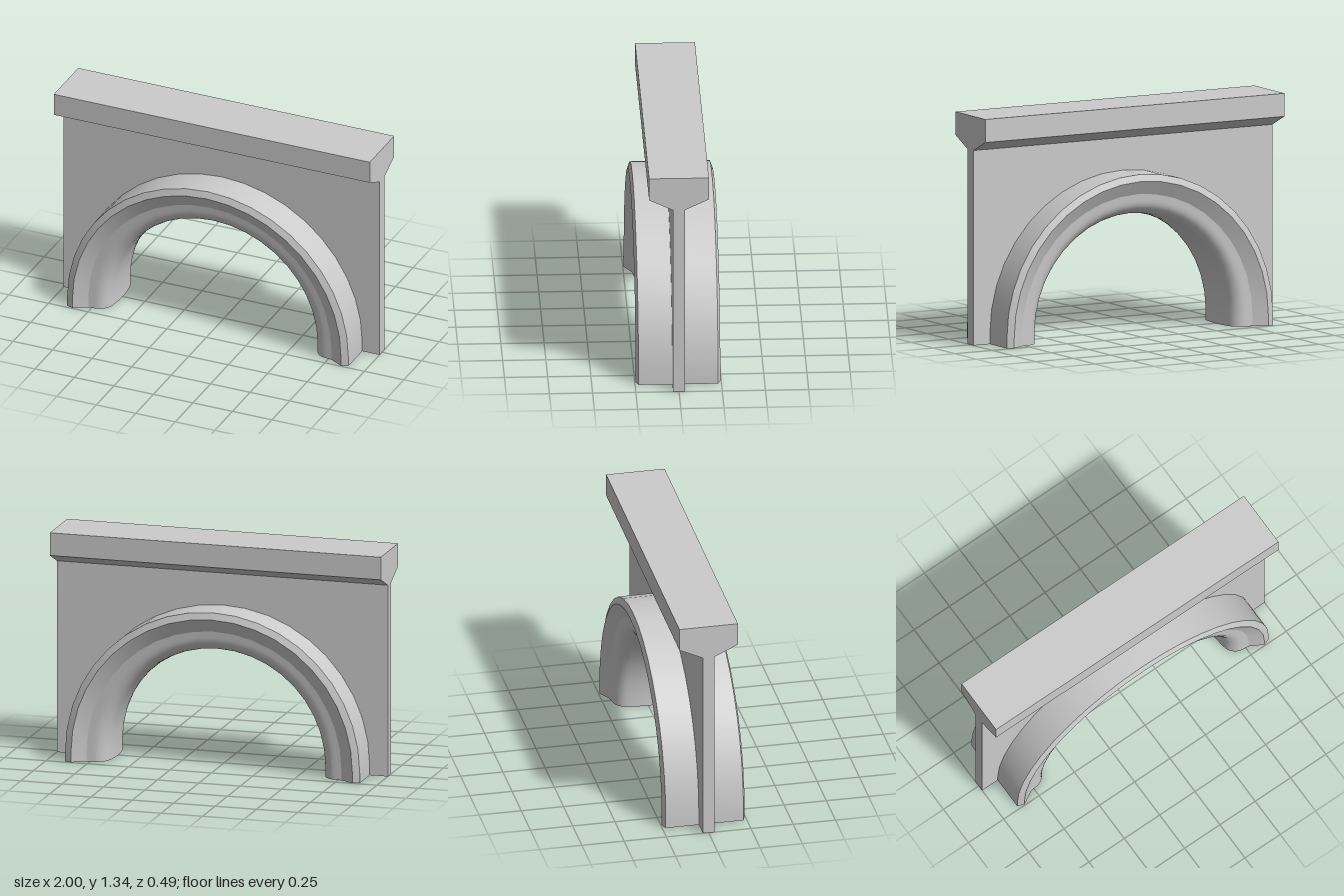
import * as THREE from 'three';
import { toCreasedNormals } from 'three/addons/utils/BufferGeometryUtils.js';

const SPRING = 0.06; // height where the straight legs turn into the arc
const SEGMENTS = 20;

// Moulded arch: a symmetric section (x = radius, y = depth) extruded, then bent over the opening
function archGeometry() {
  const roll = new THREE.CatmullRomCurve3(
    [[0.77, 0.2], [0.7, 0.188], [0.66, 0.15], [0.645, 0.08], [0.64, 0],
      [0.645, -0.08], [0.66, -0.15], [0.7, -0.188], [0.77, -0.2]]
      .map(([r, d]) => new THREE.Vector3(r, d, 0))
  ).getPoints(32).map((p) => new THREE.Vector2(p.x, p.y));
  const section = new THREE.Shape([
    new THREE.Vector2(0.89, 0.23), new THREE.Vector2(0.85, 0.245),
    ...roll,
    new THREE.Vector2(0.85, -0.245), new THREE.Vector2(0.89, -0.23),
  ]);
  const steps = SEGMENTS + 2;
  const geo = new THREE.ExtrudeGeometry(section, { depth: 1, steps, bevelEnabled: false });
  const pos = geo.attributes.position;
  for (let i = 0; i < pos.count; i++) {
    const r = pos.getX(i), d = pos.getY(i);
    const k = Math.round(pos.getZ(i) * steps);
    const a = THREE.MathUtils.clamp((k - 1) / SEGMENTS, 0, 1) * Math.PI;
    const base = k === 0 || k === steps ? 0 : SPRING;
    pos.setXYZ(i, r * Math.cos(a), base + r * Math.sin(a), -d);
  }
  geo.deleteAttribute('uv');
  return toCreasedNormals(geo, 0.3);
}

// Thin wall with an arched opening hidden inside the moulding
function wallGeometry() {
  const r = 0.8, half = 0.034;
  const shape = new THREE.Shape();
  shape.moveTo(r, 0);
  shape.lineTo(1, 0);
  shape.lineTo(1, 1.14);
  shape.lineTo(-1, 1.14);
  shape.lineTo(-1, 0);
  shape.lineTo(-r, 0);
  shape.lineTo(-r, SPRING);
  shape.absarc(0, SPRING, r, Math.PI, 0, true);
  shape.lineTo(r, 0);
  const geo = new THREE.ExtrudeGeometry(shape, { depth: half * 2, bevelEnabled: false, curveSegments: 24 });
  return geo.translate(0, 0, -half);
}

// Coping with sloped undersides, running the full length
function copingGeometry() {
  const shape = new THREE.Shape([
    [-0.034, 1.14], [0.034, 1.14], [0.173, 1.205],
    [0.173, 1.34], [-0.173, 1.34], [-0.173, 1.205],
  ].map(([z, y]) => new THREE.Vector2(z, y)));
  const geo = new THREE.ExtrudeGeometry(shape, { depth: 2, bevelEnabled: false });
  return geo.translate(0, 0, -1).rotateY(Math.PI / 2);
}

export function createModel() {
  const group = new THREE.Group();
  group.name = 'archedWall';
  const material = new THREE.MeshStandardMaterial({ color: 0xcccccc });
  const add = (name, geometry) => {
    const mesh = new THREE.Mesh(geometry, material);
    mesh.name = name;
    group.add(mesh);
  };
  add('wall', wallGeometry());
  add('coping', copingGeometry());
  add('archMoulding', archGeometry());
  return group;
}
